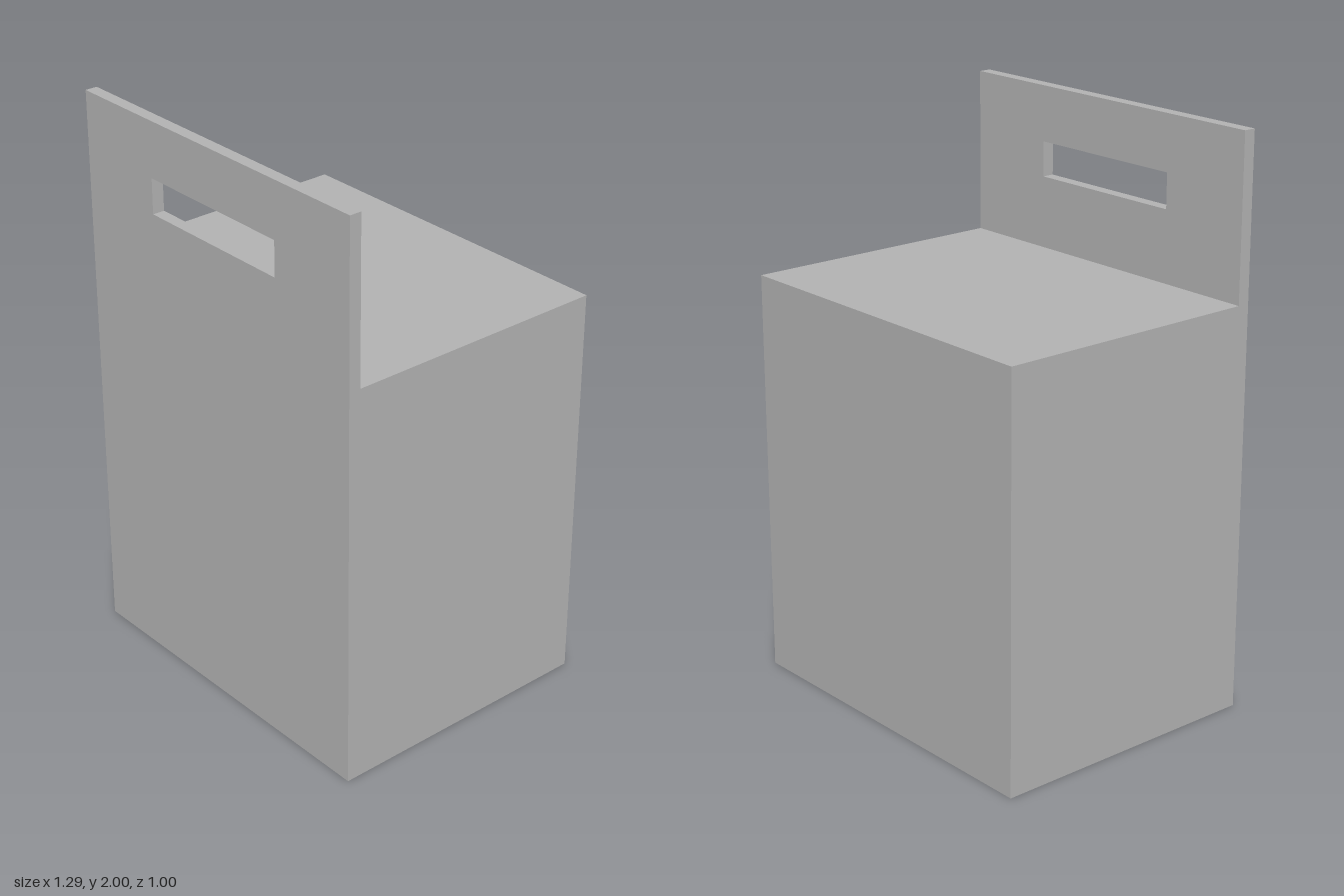
import * as THREE from 'three';

const WIDTH = 1.286, DEPTH = 1, SEAT_HEIGHT = 1.43, HEIGHT = 2, PANEL = 0.043;

// Adds an axis-aligned rectangle to a shape or path
function rectangle(path, x0, y0, x1, y1) {
  path.moveTo(x0, y0);
  path.lineTo(x1, y0);
  path.lineTo(x1, y1);
  path.lineTo(x0, y1);
  path.closePath();
  return path;
}

export function createModel() {
  const model = new THREE.Group();
  model.name = 'boxSeat';
  const grey = new THREE.MeshStandardMaterial({ color: 0xb2b2b2 });
  grey.name = 'grey';

  // Solid block, full depth
  const body = new THREE.Mesh(new THREE.BoxGeometry(WIDTH, SEAT_HEIGHT, DEPTH), grey);
  body.name = 'body';
  body.position.y = SEAT_HEIGHT / 2;
  model.add(body);

  // Thin upright panel flush with the front, with a handle slot
  const shape = rectangle(new THREE.Shape(), -WIDTH / 2, SEAT_HEIGHT, WIDTH / 2, HEIGHT);
  shape.holes.push(rectangle(new THREE.Path(), -0.303, 1.682, 0.303, 1.805));
  const panel = new THREE.Mesh(
    new THREE.ExtrudeGeometry(shape, { depth: PANEL, bevelEnabled: false }), grey);
  panel.name = 'handlePanel';
  panel.position.z = DEPTH / 2 - PANEL;
  model.add(panel);

  return model;
}
